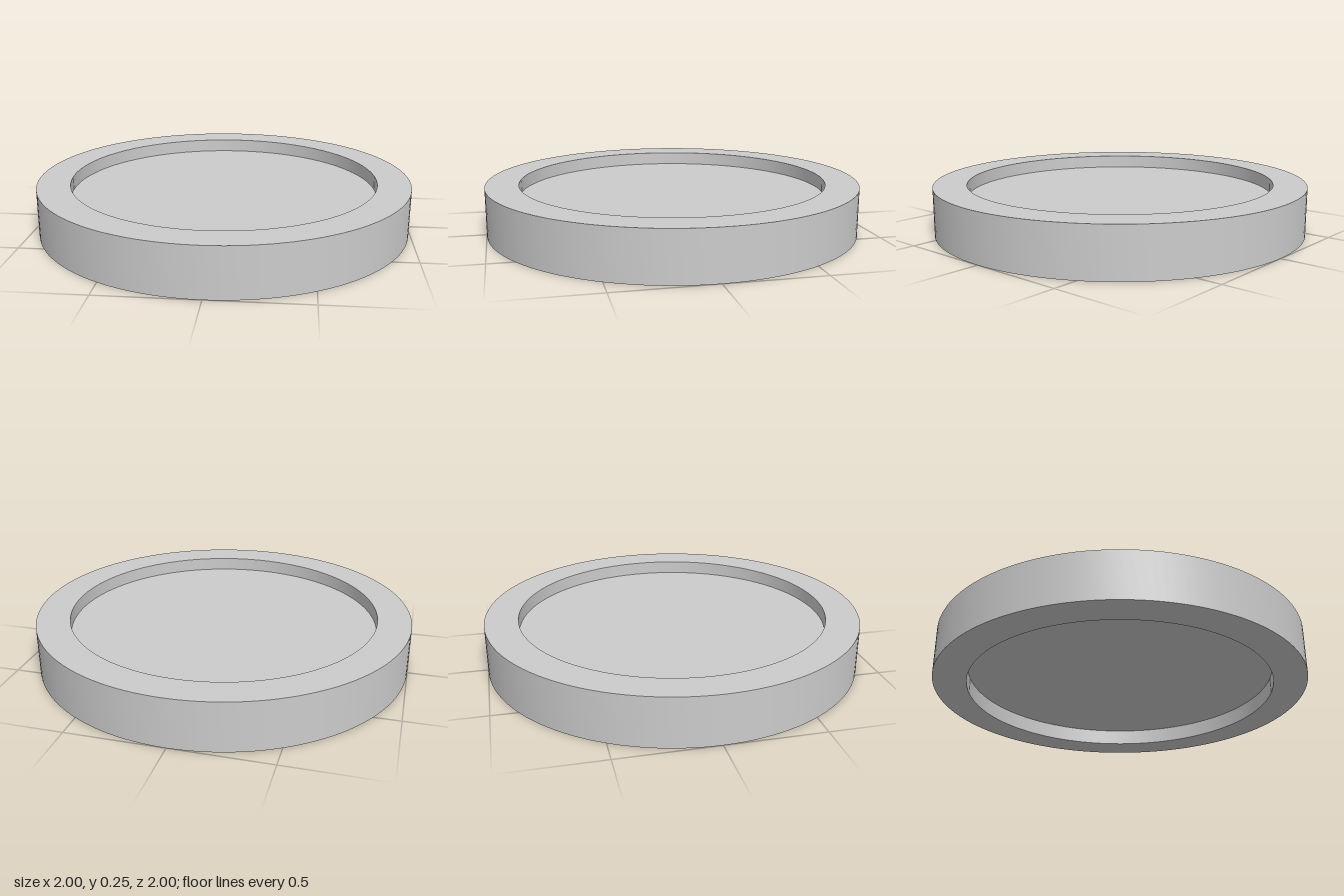
import * as THREE from 'three';
import { toCreasedNormals } from 'three/addons/utils/BufferGeometryUtils.js';

const SEGMENTS = 128;
const HEIGHT = 0.255;
const OUTER = 1;
const INNER = 0.823;
const FLOOR_BOTTOM = 0.087;
const FLOOR_TOP = 0.183;

export function createModel() {
  const model = new THREE.Group();
  model.name = 'recessedDisc';
  const material = new THREE.MeshStandardMaterial({ color: 0xcccccc });

  // Rim: a rectangular section turned about the y axis
  const section = [
    [OUTER, 0], [OUTER, HEIGHT], [INNER, HEIGHT], [INNER, 0], [OUTER, 0],
  ].map(([r, y]) => new THREE.Vector2(r, y));
  const rim = new THREE.Mesh(
    toCreasedNormals(new THREE.LatheGeometry(section, SEGMENTS), Math.PI / 6),
    material
  );
  rim.name = 'rim';
  model.add(rim);

  // Centre plate: recessed from both faces of the rim
  const thickness = FLOOR_TOP - FLOOR_BOTTOM;
  const plate = new THREE.Mesh(
    new THREE.CylinderGeometry(INNER, INNER, thickness, SEGMENTS),
    material
  );
  plate.name = 'centrePlate';
  plate.position.y = FLOOR_BOTTOM + thickness / 2;
  model.add(plate);

  return model;
}
